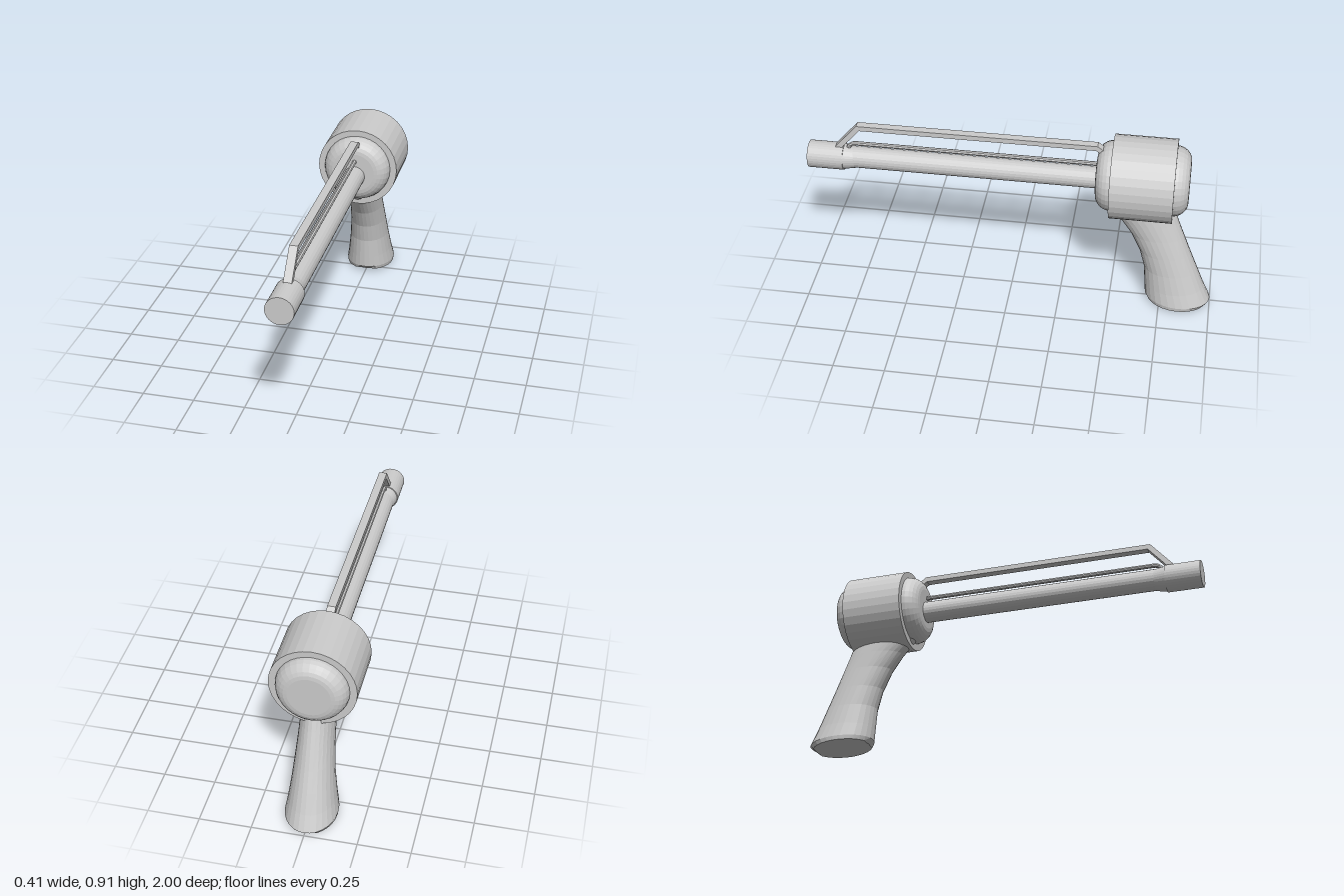
import * as THREE from 'three';

const material = new THREE.MeshStandardMaterial({ color: 0xcccccc, flatShading: true });

export function createModel() {
  const model = new THREE.Group();
  const add = (name, geometry, y = 0) => {
    const mesh = new THREE.Mesh(geometry, material);
    mesh.name = name;
    mesh.position.y = y;
    model.add(mesh);
  };
  // Turned part along z; points are [radius, z] from back to front
  const turned = (name, y, points, sides = 32) => add(name,
    new THREE.LatheGeometry(points.map(p => new THREE.Vector2(...p)), sides).rotateX(Math.PI / 2), y);

  // Rounded core of the body
  const core = [[0, -0.855]];
  const corner = t => [0.1 + 0.07 * Math.sin(t), 0.075 * Math.cos(t)];
  for (let i = 0; i <= 6; i++) {
    const [r, d] = corner(i * Math.PI / 12);
    core.push([r, -0.78 - d]);
  }
  for (let i = 6; i >= 0; i--) {
    const [r, d] = corner(i * Math.PI / 12);
    core.push([r, -0.485 + d]);
  }
  core.push([0, -0.41]);
  turned('bodyCore', 0.715, core);

  // Outer drum
  turned('drum', 0.712, [[0, -0.785], [0.203, -0.785], [0.203, -0.483], [0, -0.483]]);

  // Barrel, tapered collar and muzzle
  turned('barrel', 0.696, [[0, -0.45], [0.053, -0.45], [0.053, 0.85], [0, 0.85]], 24);
  turned('muzzle', 0.694, [[0, 0.77], [0.053, 0.77], [0.062, 0.825], [0.067, 0.825], [0.067, 1], [0, 1]]);

  // Thin rod above the barrel, bent down at the front
  const rod = new THREE.CurvePath();
  const bends = [[-0.44, 0.775], [0.775, 0.775], [0.795, 0.768], [0.81, 0.735]]
    .map(([z, y]) => new THREE.Vector3(0, y, z));
  for (let i = 0; i < 3; i++) rod.add(new THREE.LineCurve3(bends[i], bends[i + 1]));
  add('rod', new THREE.TubeGeometry(rod, 80, 0.011, 8));

  // Flat upper strut, drawn in (z, y)
  const strut = new THREE.Shape([
    [-0.46, 0.82], [-0.405, 0.861], [0.742, 0.861], [0.83, 0.76], [0.83, 0.74],
    [0.865, 0.74], [0.865, 0.76], [0.755, 0.886], [-0.41, 0.886], [-0.46, 0.85],
  ].map(p => new THREE.Vector2(...p)));
  add('upperStrut', new THREE.ExtrudeGeometry(strut, { depth: 0.04, bevelEnabled: false })
    .translate(0, 0, -0.02).rotateY(-Math.PI / 2));

  add('grip', gripGeometry());
  return model;
}

// Loft of elliptical sections: [y, front z, back z, half width]
function gripGeometry() {
  const rows = [
    [0.01, -0.685, -0.985, 0.122], [0.03, -0.675, -1, 0.125], [0.1, -0.67, -0.965, 0.113],
    [0.2, -0.662, -0.925, 0.1], [0.3, -0.635, -0.885, 0.091], [0.4, -0.587, -0.847, 0.084],
    [0.48, -0.53, -0.817, 0.081], [0.55, -0.465, -0.793, 0.079], [0.62, -0.43, -0.77, 0.075],
  ];
  const sides = 28, positions = [], index = [];
  rows.forEach(([y, front, back, width], r) => {
    const centre = (front + back) / 2, depth = (front - back) / 2;
    for (let i = 0; i < sides; i++) {
      const a = (i / sides) * Math.PI * 2;
      // Small notches at the front and back of the foot
      const notch = r === 0 && Math.abs(Math.sin(a)) > 0.97 ? 0.92 : 1;
      const z = depth * Math.sin(a) * notch;
      positions.push(width * Math.cos(a), y + (r < 2 ? z * 0.05 : 0), centre + z);
    }
  });
  for (let r = 0; r < rows.length - 1; r++) {
    for (let i = 0; i < sides; i++) {
      const j = (i + 1) % sides, a = r * sides + i, b = r * sides + j;
      index.push(a, a + sides, b, b, a + sides, b + sides);
    }
  }
  // Foot cap
  const centre = positions.length / 3;
  positions.push(0, 0.01, -0.835);
  for (let i = 0; i < sides; i++) index.push(centre, i, (i + 1) % sides);

  const geometry = new THREE.BufferGeometry();
  geometry.setAttribute('position', new THREE.Float32BufferAttribute(positions, 3));
  geometry.setIndex(index);
  geometry.computeVertexNormals();
  return geometry;
}
